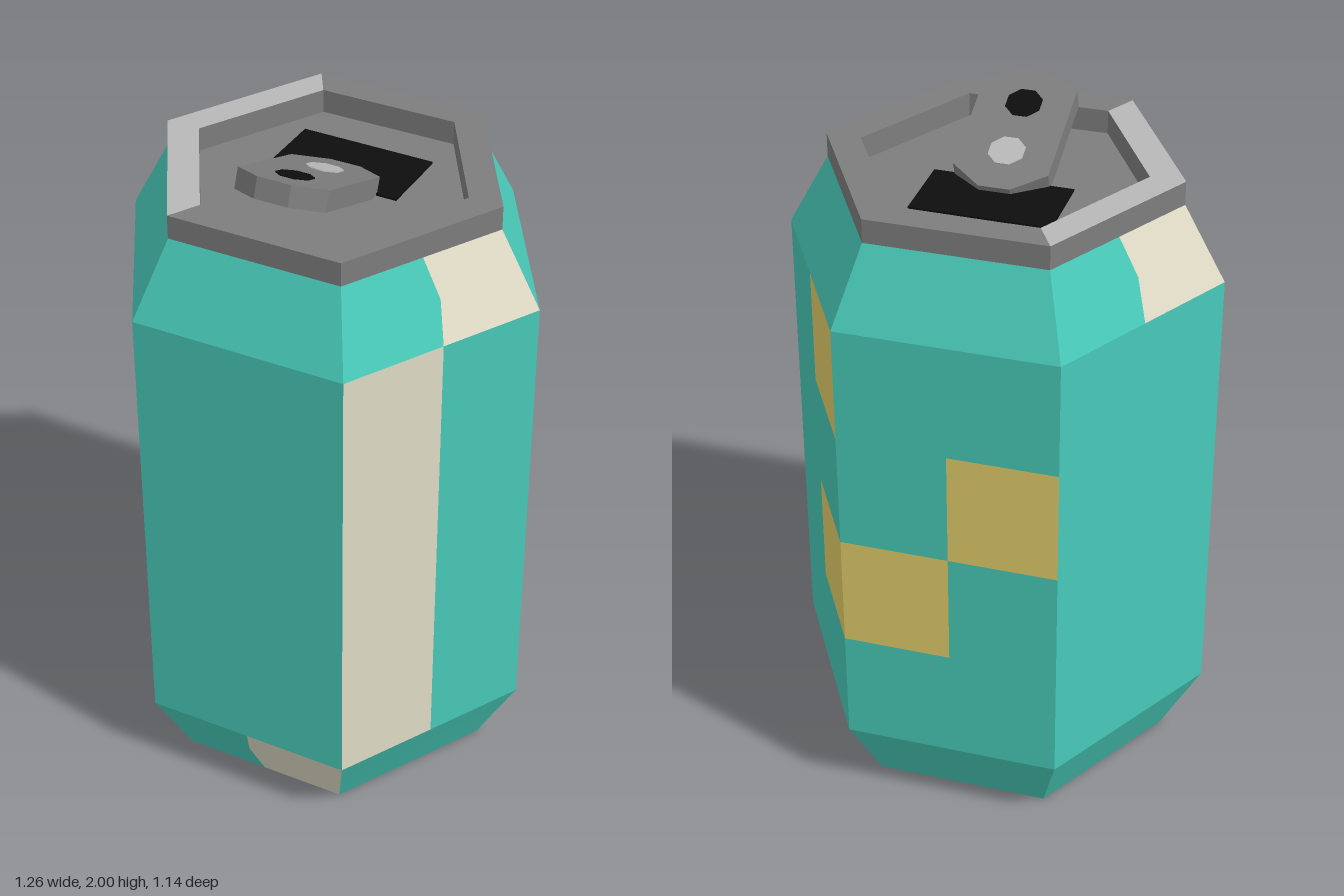
import * as THREE from 'three';

const mat = (name, color) => {
  const m = new THREE.MeshStandardMaterial({ color });
  m.name = name;
  return m;
};

// Point k (0..12) around a hexagon: even = corner, odd = point on the side at fraction t
function hexPoint(k, r, y, t) {
  const corner = (i) => {
    const a = THREE.MathUtils.degToRad(-5 + 60 * i);
    return new THREE.Vector3(r * Math.cos(a), y, r * Math.sin(a));
  };
  const i = Math.floor(k / 2);
  return k % 2 ? corner(i).lerp(corner(i + 1), t) : corner(i);
}

export function createModel() {
  const teal = mat('teal', 0x48c9b8);
  const cream = mat('cream', 0xe0dcc6);
  const yellow = mat('yellow', 0xe0cc69);
  const grey = mat('metal grey', 0x7d7d7d);
  const lightGrey = mat('light grey', 0xb8b8b8);
  const black = mat('black', 0x0d0d0d);
  const group = new THREE.Group();

  // Each band: name, [y, r, t] from, [y, r, t] to, base colour, painted halves
  const M = 0.5;
  const rows = [0.22, 0.565, 0.91, 1.255, 1.6];
  const rowPaint = [{}, { 0: yellow, 11: yellow }, { 10: yellow }, { 0: yellow }];
  const low = { 4: cream, 6: cream }, high = { 2: cream, 8: cream };
  const shine = { 6: lightGrey, 7: lightGrey, 8: lightGrey, 9: lightGrey };
  const bands = [
    ['base', [0, 0, M], [0, 0.51, M], grey, {}],
    ['lowerTaper', [0, 0.51, M], [0.12, 0.575, 0.535], teal, low],
    ['lowerTaper', [0.12, 0.575, 0.535], [0.22, 0.63, M], teal, low],
    ...rowPaint.map((paint, i) => ['body', [rows[i], 0.63, M], [rows[i + 1], 0.63, M],
      teal, { 3: cream, 7: cream, ...paint }]),
    ['shoulder', [1.6, 0.63, M], [1.71, 0.57, 0.46], teal, high],
    ['shoulder', [1.71, 0.57, 0.46], [1.82, 0.51, M], teal, high],
    ['rim', [1.82, 0.51, M], [1.89, 0.51, M], grey, {}],
    ['rim', [1.89, 0.51, M], [1.89, 0.41, M], grey, shine],
    ['rim', [1.89, 0.41, M], [1.82, 0.41, M], grey, {}],
    ['lid', [1.82, 0.41, M], [1.82, 0, M], grey, {}],
  ];

  // Gather the band faces by part and colour
  const parts = new Map();
  for (const [name, [y0, r0, t0], [y1, r1, t1], base, paint] of bands) {
    for (let k = 0; k < 12; k++) {
      const material = paint[k] ?? base;
      const key = `${name} ${material.name}`;
      if (!parts.has(key)) parts.set(key, { material, points: [] });
      const a = hexPoint(k, r0, y0, t0), b = hexPoint(k + 1, r0, y0, t0);
      const c = hexPoint(k + 1, r1, y1, t1), d = hexPoint(k, r1, y1, t1);
      const { points } = parts.get(key);
      if (r1 > 0) points.push(a, d, c);
      if (r0 > 0) points.push(a, c, b);
    }
  }
  for (const [name, { material, points }] of parts) {
    const geometry = new THREE.BufferGeometry().setFromPoints(points);
    geometry.computeVertexNormals();
    const mesh = new THREE.Mesh(geometry, material);
    mesh.name = name;
    group.add(mesh);
  }

  // Drinking opening painted on the lid
  const opening = new THREE.Mesh(new THREE.BoxGeometry(0.4, 0.008, 0.226), black);
  opening.name = 'opening';
  opening.position.set(0.096, 1.822, -0.07);
  opening.rotation.y = -Math.atan2(0.33, 0.225);
  group.add(opening);

  // Pull tab: a tilted plate with chamfered ends
  const tab = new THREE.Group();
  tab.name = 'pullTab';
  const thickness = 0.06;
  const outline = [[-0.097, -0.045], [-0.03, -0.135], [0.29, -0.135], [0.343, -0.05],
    [0.343, 0.05], [0.29, 0.135], [-0.03, 0.135], [-0.097, 0.045]];
  const shape = new THREE.Shape(outline.map(([x, y]) => new THREE.Vector2(x, y)));
  const plate = new THREE.Mesh(
    new THREE.ExtrudeGeometry(shape, { depth: thickness, bevelEnabled: false }), grey);
  plate.name = 'tabPlate';
  plate.position.z = -thickness;
  tab.add(plate);

  // Finger hole (both sides) and rivet
  const spot = (name, x, z, material) => {
    const geometry = new THREE.CylinderGeometry(0.053, 0.053, 0.006, 8);
    geometry.rotateY(Math.PI / 8).rotateX(Math.PI / 2);
    const mesh = new THREE.Mesh(geometry, material);
    mesh.name = name;
    mesh.position.set(x, 0, z);
    tab.add(mesh);
  };
  spot('fingerHoleTop', 0.22, 0, black);
  spot('fingerHoleUnderside', 0.22, -thickness, black);
  spot('rivet', 0.038, 0, lightGrey);

  // Local x runs along the tab, local z is its upper side
  const tilt = THREE.MathUtils.degToRad(21);
  const along = new THREE.Vector3(-0.82 * Math.cos(tilt), Math.sin(tilt), 0.572 * Math.cos(tilt)).normalize();
  const across = new THREE.Vector3(0.572, 0, 0.82).normalize();
  const up = new THREE.Vector3().crossVectors(along, across);
  tab.quaternion.setFromRotationMatrix(new THREE.Matrix4().makeBasis(along, across, up));
  tab.position.set(0, 1.877, 0);
  group.add(tab);

  return group;
}
